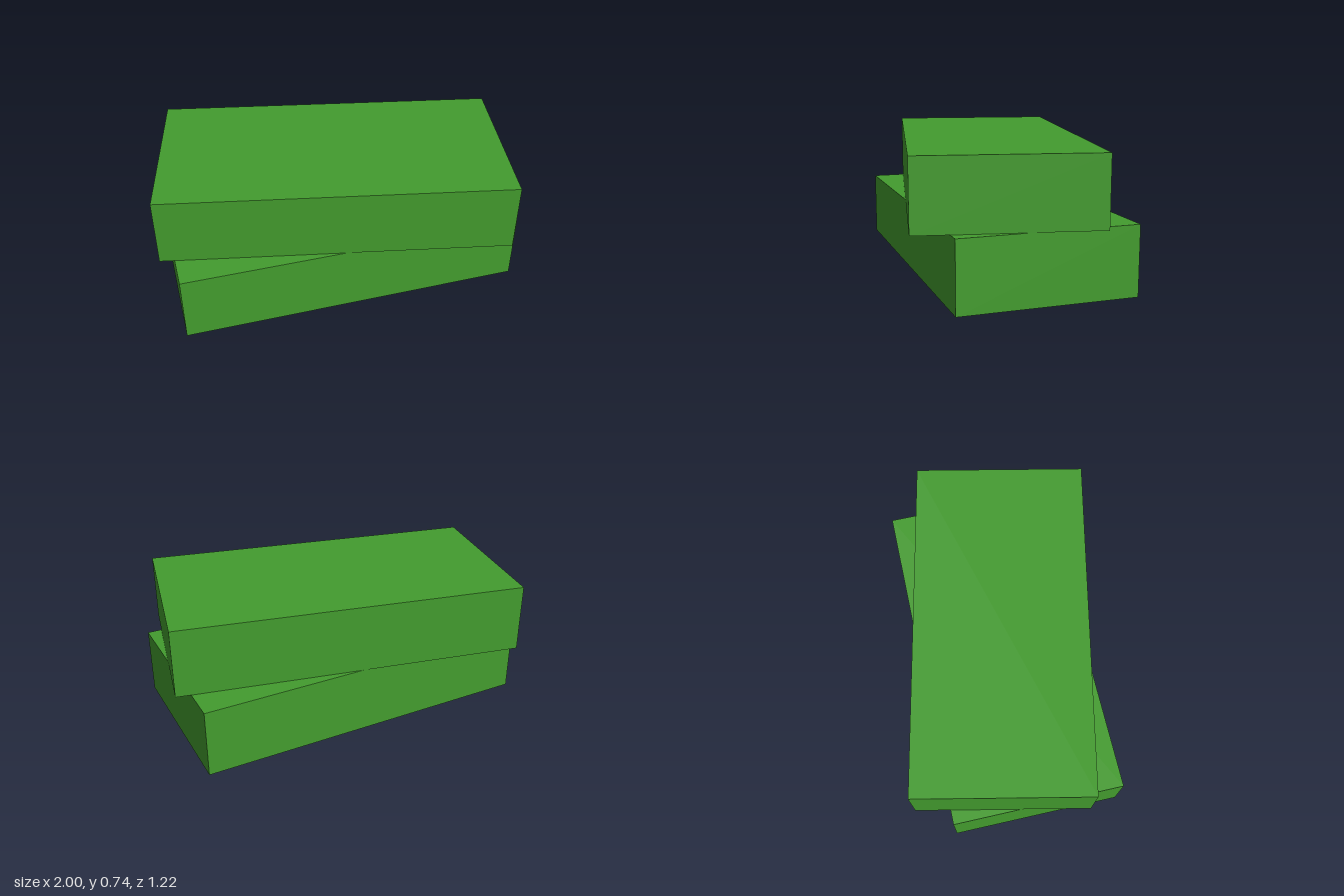
import * as THREE from 'three';

export function createModel() {
  const group = new THREE.Group();
  group.name = 'stackedBlocks';

  const green = new THREE.MeshStandardMaterial({ color: 0x439c2e });
  green.name = 'green';

  // Two identical slabs, each turned a little about the vertical axis
  const length = 1.876, height = 0.37, depth = 0.942;
  const slab = new THREE.BoxGeometry(length, height, depth);
  const layers = [
    { name: 'lowerBlock', turn: 9 },
    { name: 'upperBlock', turn: -3 },
  ];
  layers.forEach(({ name, turn }, i) => {
    const block = new THREE.Mesh(slab, green);
    block.name = name;
    block.position.y = height * (i + 0.5);
    block.rotation.y = THREE.MathUtils.degToRad(turn);
    group.add(block);
  });

  return group;
}
